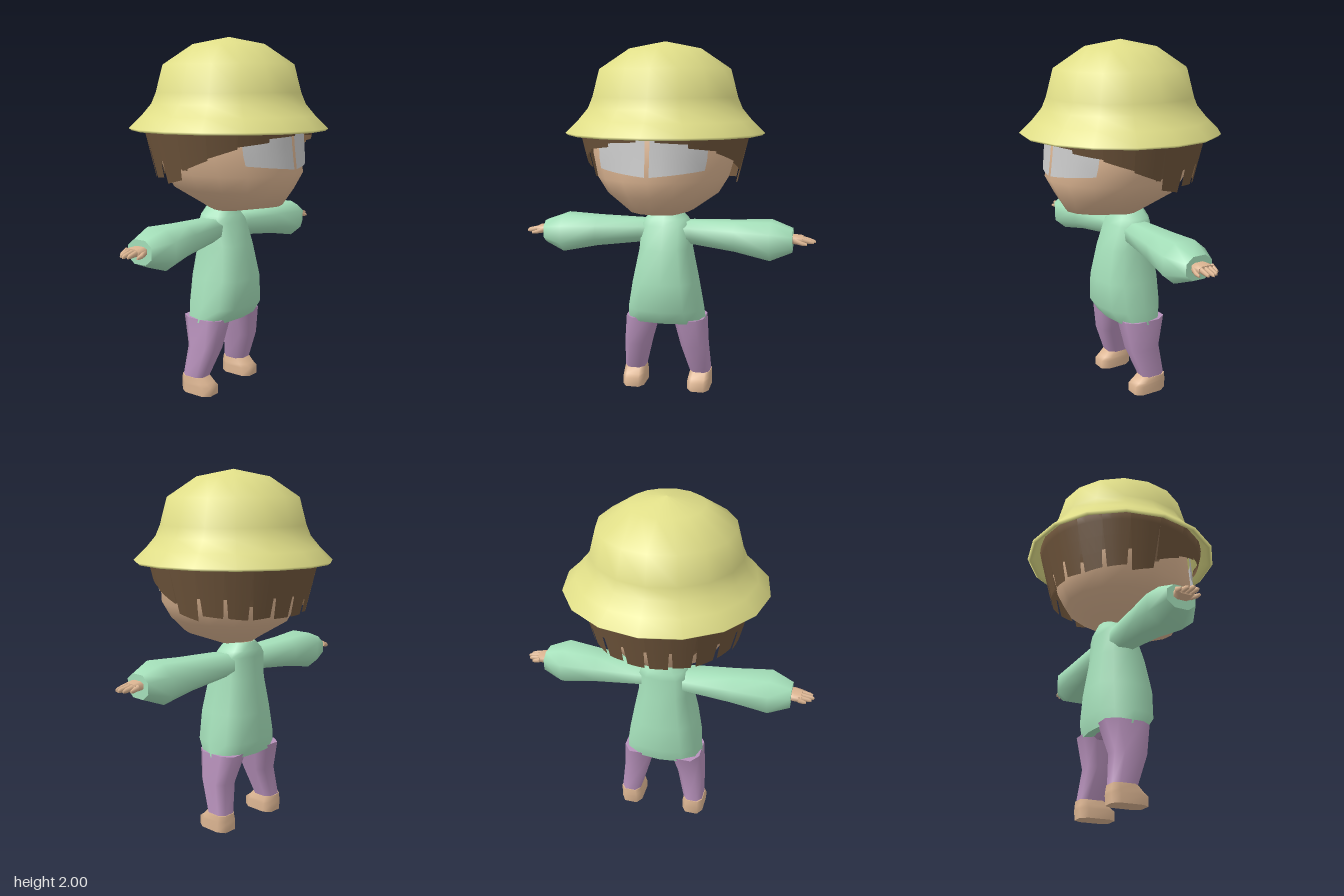
import * as THREE from 'three';

const mat = (name, color, side = THREE.FrontSide) => {
  const m = new THREE.MeshStandardMaterial({ color, side });
  m.name = name;
  return m;
};

// Tube of elliptical rings [t, uMin, uMax, vMin, vMax]; axis 'y': u=x v=z, axis 'z': u=x v=y.
// s = -1 puts the part on the other side of z = 0; square < 1 gives boxier rings.
function loft(rings, { axis = 'y', s = 1, n = 12, square = 1 } = {}) {
  const pos = [], idx = [];
  const flip = axis === 'z' && s > 0;
  const tri = (a, b, c) => (flip ? idx.push(a, c, b) : idx.push(a, b, c));
  const put = (t, u, v) => (axis === 'y' ? pos.push(u, t, v) : pos.push(u, v, t * s));
  const bend = (c) => Math.sign(c) * Math.pow(Math.abs(c), square);
  const ringAt = ([t, u0, u1, v0, v1]) => {
    const vm = ((v0 + v1) / 2) * (axis === 'y' ? s : 1);
    for (let j = 0; j < n; j++) {
      const a = ((j + 0.5 * (n === 8)) / n) * Math.PI * 2;
      put(t, (u0 + u1) / 2 + ((u1 - u0) / 2) * bend(Math.cos(a)), vm + ((v1 - v0) / 2) * bend(Math.sin(a)));
    }
  };
  rings.forEach(ringAt);
  for (let i = 0; i < rings.length - 1; i++) for (let j = 0; j < n; j++) {
    const a = i * n + j, b = i * n + ((j + 1) % n);
    tri(a, a + n, b);
    tri(b, a + n, b + n);
  }
  // flat end caps
  [rings[0], rings[rings.length - 1]].forEach((r, end) => {
    const base = pos.length / 3;
    ringAt(r);
    for (let j = 1; j < n - 1; j++) end ? tri(base, base + j + 1, base + j) : tri(base, base + j, base + j + 1);
  });
  const g = new THREE.BufferGeometry();
  g.setAttribute('position', new THREE.Float32BufferAttribute(pos, 3));
  g.setIndex(idx);
  g.computeVertexNormals();
  return g;
}

// Curved sheet from a point function over u, v in 0..1
function sheet(fn, nu, nv) {
  const pos = [], idx = [];
  for (let i = 0; i <= nv; i++) for (let j = 0; j <= nu; j++) pos.push(...fn(j / nu, i / nv));
  for (let i = 0; i < nv; i++) for (let j = 0; j < nu; j++) {
    const a = i * (nu + 1) + j, b = a + nu + 1;
    idx.push(a, b, a + 1, a + 1, b, b + 1);
  }
  const g = new THREE.BufferGeometry();
  g.setAttribute('position', new THREE.Float32BufferAttribute(pos, 3));
  g.setIndex(idx);
  g.computeVertexNormals();
  return g;
}

const HEAD = [
  [1.045, -0.1, 0.08, -0.08, 0.08], [1.09, -0.17, 0.335, -0.18, 0.18], [1.18, -0.32, 0.385, -0.31, 0.31],
  [1.27, -0.37, 0.432, -0.365, 0.365], [1.4, -0.4, 0.415, -0.4, 0.4], [1.55, -0.4, 0.4, -0.4, 0.4],
  [1.75, -0.32, 0.32, -0.32, 0.32], [1.88, -0.15, 0.15, -0.15, 0.15],
];

// Point on the head surface at angle a and height y, pushed out by off
function onHead(a, y, off) {
  const i = Math.max(0, HEAD.findIndex((r) => r[0] > y) - 1);
  const k = (y - HEAD[i][0]) / (HEAD[i + 1][0] - HEAD[i][0]);
  const [, x0, x1, , z1] = HEAD[i].map((v, c) => v + (HEAD[i + 1][c] - v) * k);
  return [(x0 + x1) / 2 + ((x1 - x0) / 2 + off) * Math.cos(a), y, (z1 + off) * Math.sin(a)];
}

// Lock of hair between two angles (degrees) with its own lower edge
function lock(a0, a1, y0, y1, inset, gap) {
  const rad = Math.PI / 180;
  return sheet((u, v) => {
    const low = y0 + (y1 - y0) * u;
    const y = v < 0.4 ? 1.62 - 0.3 * v : 1.5 + (low - 1.5) * ((v - 0.4) / 0.6);
    const r = (v < 0.2 ? 0.41 : 0.405 + (y - 1.23) * 0.24) - inset;
    const shrink = 1 - gap * Math.max(0, (v - 0.4) / 0.6);
    const a = ((a0 + a1) / 2 + (u - 0.5) * (a1 - a0) * shrink) * rad;
    return [r * Math.cos(a), y, r * Math.sin(a)];
  }, 3, 5);
}

export function createModel() {
  const model = new THREE.Group();
  const skin = mat('skin', 0xdcb592);
  const shirt = mat('green cloth', 0xa4dfb9);
  const trousers = mat('purple cloth', 0xb892bc);
  const hatCloth = mat('yellow cloth', 0xe0de88);
  const hairBrown = mat('brown hair', 0x70563c, THREE.DoubleSide);
  const eyeGrey = mat('pale grey', 0xc8c8c8, THREE.DoubleSide);
  const add = (name, geo, m, parent = model) => {
    const mesh = new THREE.Mesh(geo, m);
    mesh.name = name;
    parent.add(mesh);
    return mesh;
  };
  const group = (name) => {
    const g = new THREE.Group();
    g.name = name;
    model.add(g);
    return g;
  };

  // bucket hat with a hollow brim
  const hatProfile = [
    [0.39, 1.72], [0.44, 1.6], [0.52, 1.51], [0.54, 1.495], [0.555, 1.508], [0.485, 1.575],
    [0.43, 1.64], [0.405, 1.7], [0.365, 1.85], [0.2, 1.96], [0, 2],
  ].map(([r, y]) => new THREE.Vector2(r, y));
  add('hat', new THREE.LatheGeometry(hatProfile, 16), hatCloth);

  // head and neck
  add('head', loft(HEAD, { n: 16 }), skin);
  add('neck', loft([[0.98, -0.13, 0.02, -0.075, 0.075], [1.13, -0.13, 0.02, -0.075, 0.075]]), skin);

  // eyes, curved plates on the face
  for (const s of [1, -1]) {
    add(s > 0 ? 'eyeNear' : 'eyeFar', sheet((u, v) => {
      const low = 1.3 + 0.03 * u;
      return onHead(s * (0.03 + 0.76 * u), low + (1.49 - low) * v, 0.012);
    }, 5, 3), eyeGrey);
  }

  // hair: under layer at the back, fringe and side locks on both sides
  const hair = group('hair');
  add('hairUnderLayer', lock(85, 275, 1.3, 1.3, 0.012, 0), hairBrown, hair);
  for (let i = 0; i < 12; i++) add('hairBand', lock(90 + i * 15, 105 + i * 15, 1.34, 1.34, 0.006, 0), hairBrown, hair);
  const locks = [
    [6, 27, 1.48, 1.47], [27, 48, 1.45, 1.43], [48, 68, 1.42, 1.37], [68, 88, 1.36, 1.3],
    [88, 109, 1.25, 1.22], [109, 128, 1.25, 1.24], [128, 146, 1.24, 1.23], [146, 163, 1.23, 1.24], [163, 180, 1.23, 1.23],
  ];
  for (const s of [1, -1]) for (const [a0, a1, y0, y1] of locks) {
    add('hairLock', lock(s * a0, s * a1, y0, y1, 0, a0 > 80 ? 0.2 : 0), hairBrown, hair);
  }

  // shirt body
  add('shirt', loft([
    [0.42, -0.185, 0.095, -0.232, 0.232], [0.5, -0.205, 0.152, -0.225, 0.225], [0.66, -0.198, 0.157, -0.195, 0.195],
    [0.85, -0.17, 0.12, -0.155, 0.155], [0.98, -0.16, 0.07, -0.15, 0.15], [1.015, -0.155, 0.05, -0.125, 0.125],
    [1.06, -0.135, 0.025, -0.075, 0.075],
  ], { square: 0.8 }), shirt);
  add('seat', loft([[0.405, -0.12, 0.03, -0.12, 0.12], [0.43, -0.15, 0.06, -0.18, 0.18]]), trousers);

  for (const s of [1, -1]) {
    const side = s > 0 ? 'Near' : 'Far';

    // sleeve, widest before the cuff
    const arm = group('arm' + side);
    add('sleeve', loft([
      [0.06, -0.12, 0.04, 0.88, 0.995], [0.15, -0.135, 0.055, 0.87, 1.01], [0.4, -0.145, 0.09, 0.84, 1.018],
      [0.6, -0.155, 0.125, 0.8, 1.03], [0.72, -0.105, 0.065, 0.85, 0.985],
    ], { axis: 'z', s, n: 8, square: 0.85 }), shirt, arm);

    // palm, four fingers and thumb
    add('palm', loft([
      [0.7, -0.06, 0.025, 0.9, 0.95], [0.735, -0.07, 0.035, 0.9, 0.95], [0.775, -0.075, 0.025, 0.905, 0.945],
    ], { axis: 'z', s, n: 8, square: 0.7 }), skin, arm);
    for (const [x, end] of [[-0.069, 0.805], [-0.043, 0.832], [-0.018, 0.845], [0.008, 0.836]]) {
      add('finger', loft([
        [0.76, x - 0.012, x + 0.012, 0.91, 0.945], [end - 0.015, x - 0.01, x + 0.01, 0.905, 0.93],
        [end, x - 0.005, x + 0.005, 0.907, 0.922],
      ], { axis: 'z', s, n: 6 }), skin, arm);
    }
    add('thumb', loft([
      [0.73, 0.01, 0.037, 0.905, 0.94], [0.77, 0.024, 0.047, 0.9, 0.925], [0.8, 0.032, 0.043, 0.9, 0.915],
    ], { axis: 'z', s, n: 6 }), skin, arm);

    // trouser leg and foot
    const leg = group('leg' + side);
    add('trouserLeg', loft([
      [0.09, -0.16, -0.015, 0.138, 0.258], [0.27, -0.138, 0.055, 0.09, 0.247], [0.44, -0.185, 0.085, 0.045, 0.234],
    ], { s, n: 8, square: 0.7 }), trousers, leg);
    add('foot', loft([
      [0, -0.165, 0.045, 0.128, 0.262], [0.05, -0.168, 0.045, 0.128, 0.262],
      [0.068, -0.166, 0.02, 0.13, 0.262], [0.1, -0.162, -0.012, 0.137, 0.26],
    ], { s, n: 8, square: 0.6 }), skin, leg);
  }
  return model;
}
